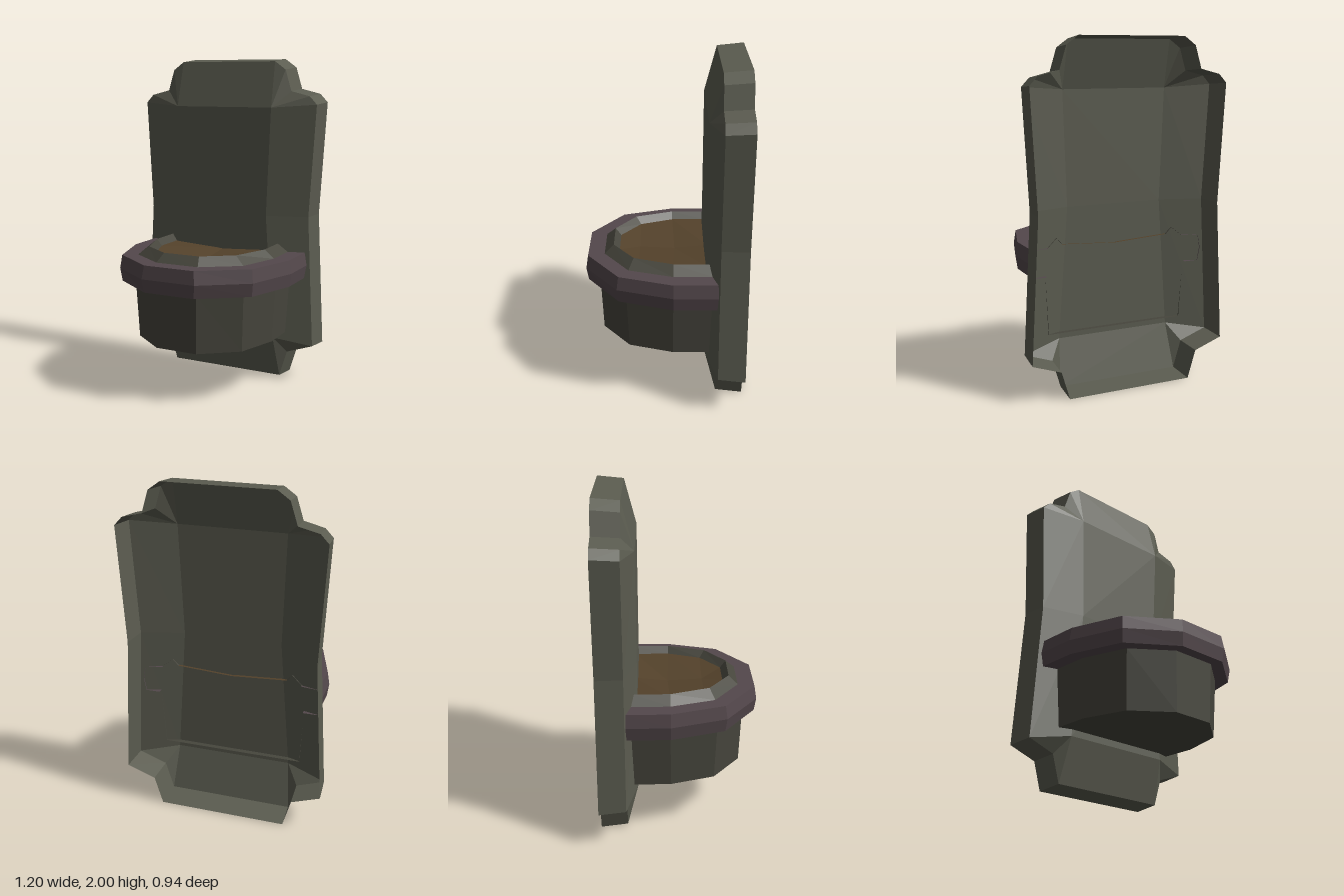
import * as THREE from 'three';

// Skin successive rows of [x, y, z] points with flat facets, dropping collapsed triangles.
function loft(rows, closed = false) {
  const pos = [];
  const same = (p, q) => p.every((v, i) => Math.abs(v - q[i]) < 1e-6);
  const tri = (a, b, c) => {
    if (!same(a, b) && !same(b, c) && !same(a, c)) pos.push(...a, ...b, ...c);
  };
  for (let r = 0; r < rows.length - 1; r++) {
    const a = rows[r], b = rows[r + 1], n = a.length;
    for (let i = 0; i < (closed ? n : n - 1); i++) {
      const j = (i + 1) % n;
      tri(a[i], b[j], a[j]);
      tri(a[i], b[i], b[j]);
    }
  }
  const geometry = new THREE.BufferGeometry();
  geometry.setAttribute('position', new THREE.Float32BufferAttribute(pos, 3));
  geometry.computeVertexNormals();
  return geometry;
}

// Append the mirrored half, so a row runs from the left side round to the right.
const mirror = (half) => [...half, ...half.map(([x, y, z]) => [-x, y, z]).reverse()];

// Open-backed, faceted half ring of the basin at height y.
const halfRing = (y, back, x1, x2, z2, x3, z3) =>
  mirror([[x1, y, back], [x1, y, -0.05], [x2, y, z2], [x3, y, z3]]);

// Spine that a half ring closes onto: bottom cap or bowl floor.
const spine = (ys, back) => {
  const p = [[0, ys[0], back], [0, ys[1], -0.06], [0, ys[2], 0.15]];
  return mirror([p[0], p[1], p[2], p[2]]);
};

export function createModel() {
  const model = new THREE.Group();
  const add = (name, color, geometry) => {
    const material = new THREE.MeshStandardMaterial({ color, flatShading: true, side: THREE.DoubleSide });
    const mesh = new THREE.Mesh(geometry, material);
    mesh.name = name;
    model.add(mesh);
  };
  const stone = 0x5b5c50, basinStone = 0x47463d, rimStone = 0x54484c, water = 0x54422b;

  // Wall plate: notched outline, thin side walls, bevel up to a raised centre panel
  const outline = [
    [0.32, 2], [0.39, 1.95], [0.43, 1.82], [0.55, 1.79], [0.597, 1.74],
    [0.557, 1.05], [0.6, 0.225], [0.43, 0.165], [0.38, 0],
  ];
  const top = [0.32, 1.71, -0.24], middle = [0.295, 1.05, -0.24], bottom = [0.35, 0.28, -0.24];
  const panel = [top, top, top, top, top, middle, bottom, bottom, bottom];
  const backEdge = mirror(outline.map(([x, y]) => [x, y, -0.47]));
  const frontEdge = mirror(outline.map(([x, y]) => [x * 0.98, 1 + (y - 1) * 0.985, -0.31]));
  add('wallPlate', stone, loft([backEdge, frontEdge, mirror(panel)], true));
  const panelSide = [top, middle, bottom];
  add('platePanel', stone, loft([panelSide, panelSide.map(([x, y, z]) => [-x, y, z])]));

  // Basin body with its closed underside
  add('basin', basinStone, loft([
    spine([0.32, 0.32, 0.32], -0.27),
    halfRing(0.32, -0.27, 0.425, 0.345, 0.21, 0.13, 0.375),
    halfRing(0.67, -0.275, 0.445, 0.36, 0.225, 0.14, 0.39),
  ]));

  // Protruding rim
  add('rim', rimStone, loft([
    halfRing(0.67, -0.305, 0.445, 0.36, 0.225, 0.14, 0.39),
    halfRing(0.67, -0.305, 0.53, 0.43, 0.265, 0.16, 0.458),
    halfRing(0.75, -0.31, 0.543, 0.44, 0.275, 0.17, 0.47),
    halfRing(0.83, -0.305, 0.53, 0.43, 0.265, 0.16, 0.458),
    halfRing(0.83, -0.29, 0.43, 0.35, 0.21, 0.135, 0.36),
  ]));

  // Raised lip around the bowl
  add('lip', basinStone, loft([
    halfRing(0.83, -0.28, 0.43, 0.35, 0.21, 0.135, 0.36),
    halfRing(0.88, -0.265, 0.37, 0.29, 0.18, 0.115, 0.305),
    halfRing(0.84, -0.26, 0.335, 0.26, 0.15, 0.1, 0.27),
  ]));

  // Shallow bowl floor
  add('bowlFloor', water, loft([
    halfRing(0.84, -0.26, 0.335, 0.26, 0.15, 0.1, 0.27),
    spine([0.82, 0.8, 0.81], -0.26),
  ]));

  return model;
}
